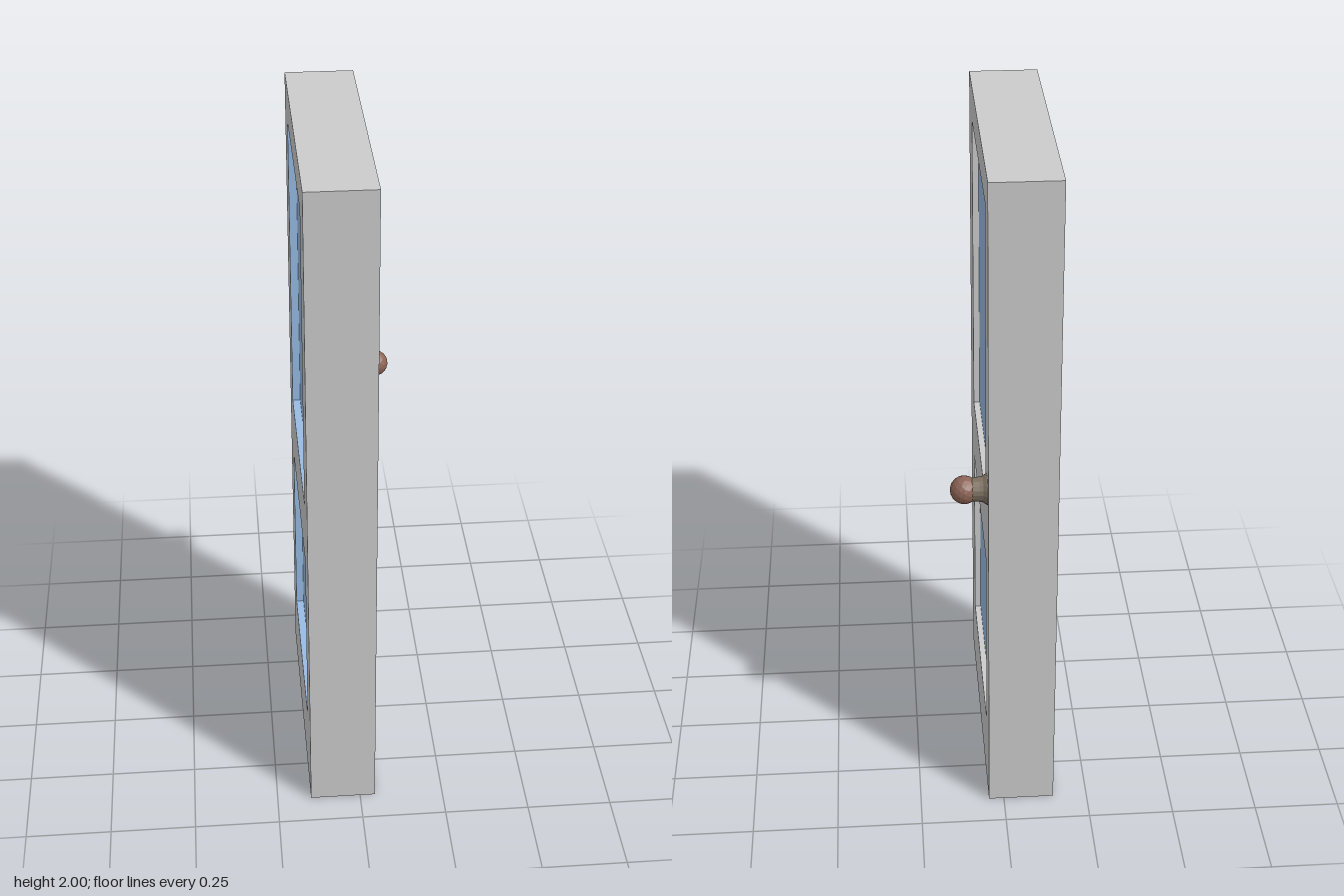
import * as THREE from 'three';

const BACK = -0.149, FRONT = 0.045, RECESS = 0.023;
const HALF_W = 0.405, HEIGHT = 2;
// window openings: z range and y range
const Z0 = -0.29, Z1 = 0.28;
const WINDOWS = [
  { name: 'upperWindow', y0: 0.99, y1: 1.9 },
  { name: 'lowerWindow', y0: 0.22, y1: 0.8 },
];

const mat = (color, flatShading = false) => new THREE.MeshStandardMaterial({ color, flatShading });

function mesh(name, geometry, material) {
  const m = new THREE.Mesh(geometry, material);
  m.name = name;
  return m;
}

// box given by its limits on each axis
function boxBetween(name, [x0, x1], [y0, y1], [z0, z1], material) {
  const m = mesh(name, new THREE.BoxGeometry(x1 - x0, y1 - y0, z1 - z0), material);
  m.position.set((x0 + x1) / 2, (y0 + y1) / 2, (z0 + z1) / 2);
  return m;
}

function rect(target, a0, a1, b0, b1) {
  target.moveTo(a0, b0);
  target.lineTo(a1, b0);
  target.lineTo(a1, b1);
  target.lineTo(a0, b1);
  target.closePath();
  return target;
}

export function createModel() {
  const group = new THREE.Group();
  group.name = 'door';
  const grey = mat(0xcccccc), glass = mat(0x98bbe3);

  // door leaf with two openings; shape x runs along -z after the turn
  const leaf = rect(new THREE.Shape(), -HALF_W, HALF_W, 0, HEIGHT);
  for (const w of WINDOWS) leaf.holes.push(rect(new THREE.Path(), -Z1, -Z0, w.y0, w.y1));
  const leafGeo = new THREE.ExtrudeGeometry(leaf, { depth: FRONT - BACK, bevelEnabled: false });
  leafGeo.rotateY(Math.PI / 2).translate(BACK, 0, 0);
  group.add(mesh('doorLeaf', leafGeo, grey));

  // glass set into each opening, with a thin coloured lining on the back side
  for (const { name, y0, y1 } of WINDOWS) {
    const win = new THREE.Group();
    win.name = name;
    const t = 0.001, lining = [BACK, BACK + RECESS];
    win.add(
      boxBetween('pane', [BACK + RECESS, FRONT - 0.018], [y0, y1], [Z0, Z1], glass),
      boxBetween('liningBottom', lining, [y0, y0 + t], [Z0, Z1], glass),
      boxBetween('liningTop', lining, [y1 - t, y1], [Z0, Z1], glass),
      boxBetween('liningRight', lining, [y0, y1], [Z0, Z0 + t], glass),
      boxBetween('liningLeft', lining, [y0, y1], [Z1 - t, Z1], glass),
    );
    group.add(win);
  }

  // knob: flared neck and faceted ball, pointing along +x
  const knob = new THREE.Group();
  knob.name = 'knob';
  const profile = [[0, 0], [0.045, 0], [0.043, 0.004], [0.037, 0.012], [0.035, 0.022], [0.033, 0.042], [0, 0.042]]
    .map(([r, h]) => new THREE.Vector2(r, h));
  const neck = mesh('knobNeck', new THREE.LatheGeometry(profile, 16), mat(0x7d7060, true));
  neck.rotation.z = -Math.PI / 2;
  const ball = mesh('knobBall', new THREE.IcosahedronGeometry(0.04, 2), mat(0x8c6456, true));
  ball.position.x = 0.063;
  knob.add(neck, ball);
  knob.position.set(FRONT, 1.075, -0.352);
  group.add(knob);

  return group;
}
